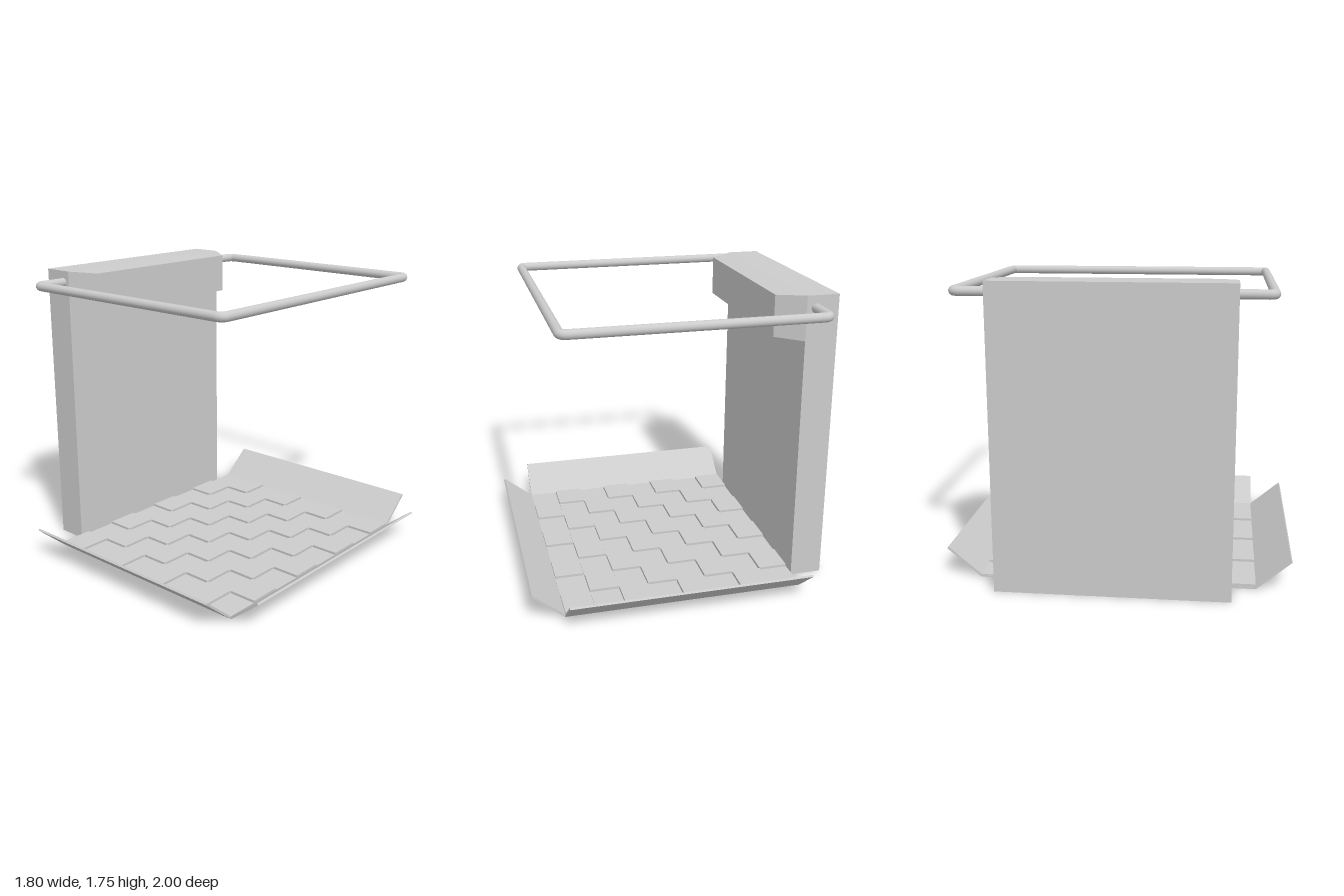
import * as THREE from 'three';

const mat = new THREE.MeshStandardMaterial({ color: 0xcccccc, flatShading: true });
const smooth = new THREE.MeshStandardMaterial({ color: 0xcccccc });

function add(parent, name, geometry, x = 0, y = 0, z = 0, material = mat) {
  const mesh = new THREE.Mesh(geometry, material);
  mesh.name = name;
  mesh.position.set(x, y, z);
  parent.add(mesh);
  return mesh;
}

// Box given by its minimum and maximum corners
function slab(parent, name, [x0, y0, z0], [x1, y1, z1]) {
  return add(parent, name, new THREE.BoxGeometry(x1 - x0, y1 - y0, z1 - z0),
    (x0 + x1) / 2, (y0 + y1) / 2, (z0 + z1) / 2);
}

// Thin sloping plate that leans outward from the floor edge
function flap(parent, name, inner, outer, height, length, turn) {
  const shape = new THREE.Shape([
    new THREE.Vector2(inner, 0),
    new THREE.Vector2(outer, height - 0.01),
    new THREE.Vector2(outer - 0.008, height),
    new THREE.Vector2(inner - 0.006, 0.012),
  ]);
  const geometry = new THREE.ExtrudeGeometry(shape, { depth: length, bevelEnabled: false });
  geometry.translate(0, 0, -length / 2);
  add(parent, name, geometry).rotation.y = turn;
}

export function createModel() {
  const model = new THREE.Group();
  model.name = 'tiledPlatform';

  // Floor plate with a checkerboard of raised and low tiles
  slab(model, 'floorPlate', [-0.71, 0, -0.8], [0.71, 0.01, 0.8]);
  const tiles = new THREE.Group();
  tiles.name = 'floorTiles';
  model.add(tiles);
  const w = 1.42 / 8, d = 0.2;
  for (let i = 0; i < 8; i++) {
    for (let j = 0; j < 8; j++) {
      const top = (i + j) % 2 ? 0.028 : 0.016;
      const x = -0.71 + i * w, z = -0.8 + j * d;
      slab(tiles, 'floorTile', [x + 0.002, 0.005, z + 0.002], [x + w - 0.002, top, z + d - 0.002]);
    }
  }

  // Flaps on the three open sides
  flap(model, 'leftFlap', 0.71, 0.9, 0.165, 1.6, 0);
  flap(model, 'frontFlap', 0.8, 1.0, 0.18, 1.42, -Math.PI / 2);
  flap(model, 'backFlap', 0.8, 1.0, 0.18, 1.42, Math.PI / 2);

  // Upright panel
  slab(model, 'uprightPanel', [-0.9, 0, -0.675], [-0.71, 1.75, 0.66]);

  // Overhanging head, narrowing towards its free face
  const head = new THREE.BoxGeometry(0.15, 0.26, 1.335);
  const p = head.attributes.position;
  for (let i = 0; i < p.count; i++) {
    if (p.getX(i) > 0) p.setXYZ(i, p.getX(i), p.getY(i) * 0.93, p.getZ(i) * 0.847);
  }
  head.computeVertexNormals();
  add(model, 'overhangHead', head, -0.635, 1.62, -0.0075);

  // Round rail with tight bends, running from one end of the panel to the other
  const corners = [[-0.758, -0.688], [-0.758, -0.888], [0.695, -0.888],
    [0.695, 0.85], [-0.758, 0.85], [-0.758, 0.645]].map(([x, z]) => new THREE.Vector3(x, 1.68, z));
  const path = new THREE.CurvePath();
  let last = corners[0];
  for (let i = 1; i < corners.length - 1; i++) {
    const c = corners[i];
    const toward = (q) => c.clone().add(q.clone().sub(c).setLength(0.04));
    const a = toward(corners[i - 1]), b = toward(corners[i + 1]);
    path.add(new THREE.LineCurve3(last, a));
    path.add(new THREE.QuadraticBezierCurve3(a, c, b));
    last = b;
  }
  path.add(new THREE.LineCurve3(last, corners[5]));
  add(model, 'rail', new THREE.TubeGeometry(path, 400, 0.027, 16), 0, 0, 0, smooth);
  add(model, 'railEnd', new THREE.CircleGeometry(0.027, 16), -0.758, 1.68, -0.688);

  return model;
}
